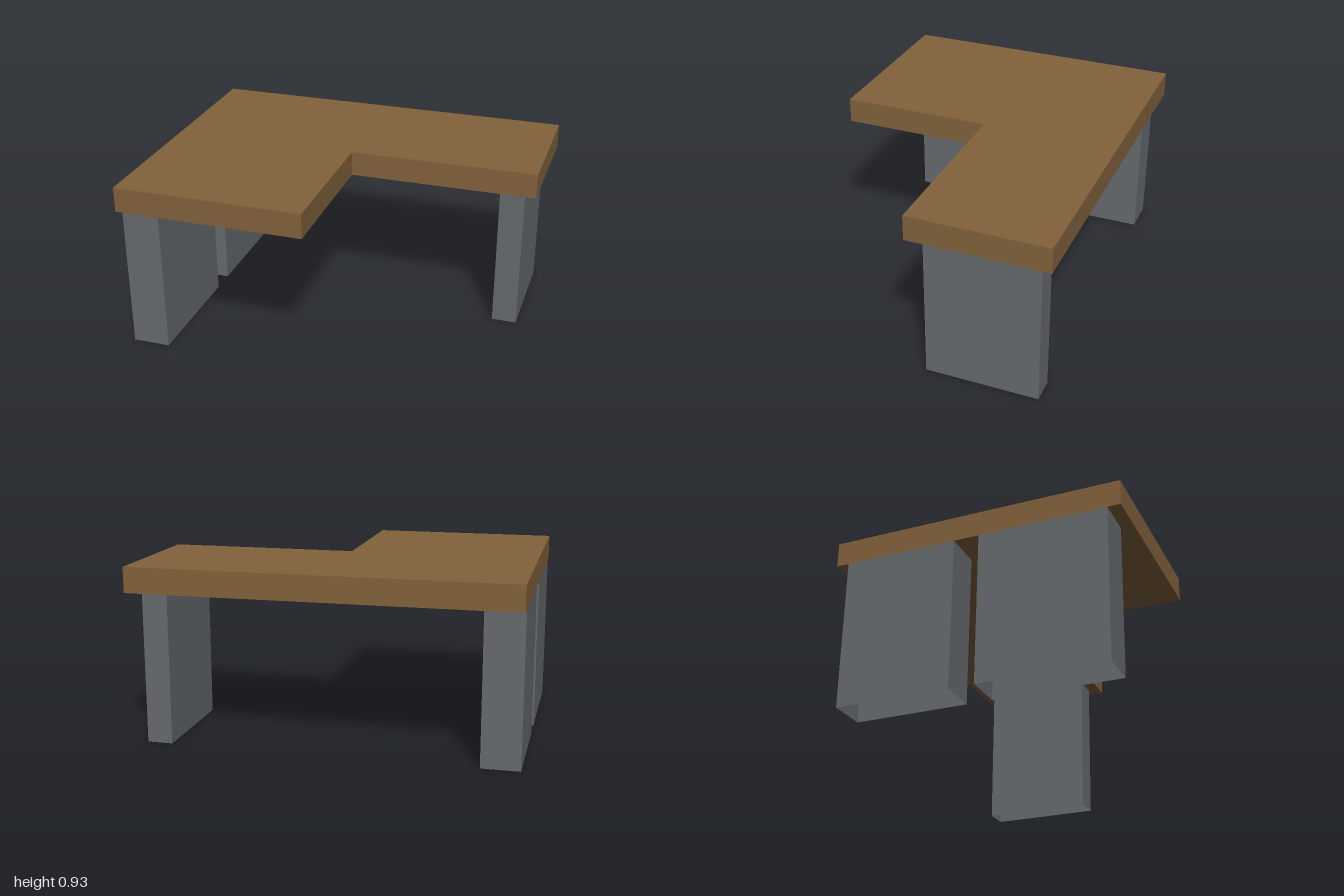
import * as THREE from 'three';

export function createModel() {
  const model = new THREE.Group();
  model.name = 'cornerDesk';

  const wood = new THREE.MeshStandardMaterial({ color: 0x82623b });
  wood.name = 'brown wood';
  const metal = new THREE.MeshStandardMaterial({ color: 0x666b6f, side: THREE.DoubleSide });
  metal.name = 'slate grey';

  const legHeight = 0.8;
  const topThickness = 0.133;

  // L-shaped top, drawn in plan (shape y = -z) and extruded upward
  const plan = new THREE.Shape([
    [-1, -0.767], [0, -0.767], [0, 0.033], [1, 0.033], [1, 0.767], [-1, 0.767],
  ].map(([x, y]) => new THREE.Vector2(x, y)));
  const topGeometry = new THREE.ExtrudeGeometry(plan, { depth: topThickness, bevelEnabled: false });
  topGeometry.rotateX(-Math.PI / 2);
  const top = new THREE.Mesh(topGeometry, wood);
  top.name = 'deskTop';
  top.position.y = legHeight;
  model.add(top);

  // Hollow panel legs: four walls, open at the floor and under the top
  function addLeg(name, x0, x1, z0, z1) {
    const geometry = new THREE.BoxGeometry(x1 - x0, legHeight, z1 - z0);
    const index = Array.from(geometry.index.array);
    geometry.setIndex([...index.slice(0, 12), ...index.slice(24)]);
    geometry.clearGroups();
    const leg = new THREE.Mesh(geometry, metal);
    leg.name = name;
    leg.position.set((x0 + x1) / 2, legHeight / 2, (z0 + z1) / 2);
    model.add(leg);
  }
  addLeg('frontRightLeg', -1, -0.8, 0.033, 0.7);
  addLeg('backRightLeg', -1, -0.8, -0.7, -0.1);
  addLeg('backLeftLeg', 0.8, 0.933, -0.7, -0.1);

  return model;
}
